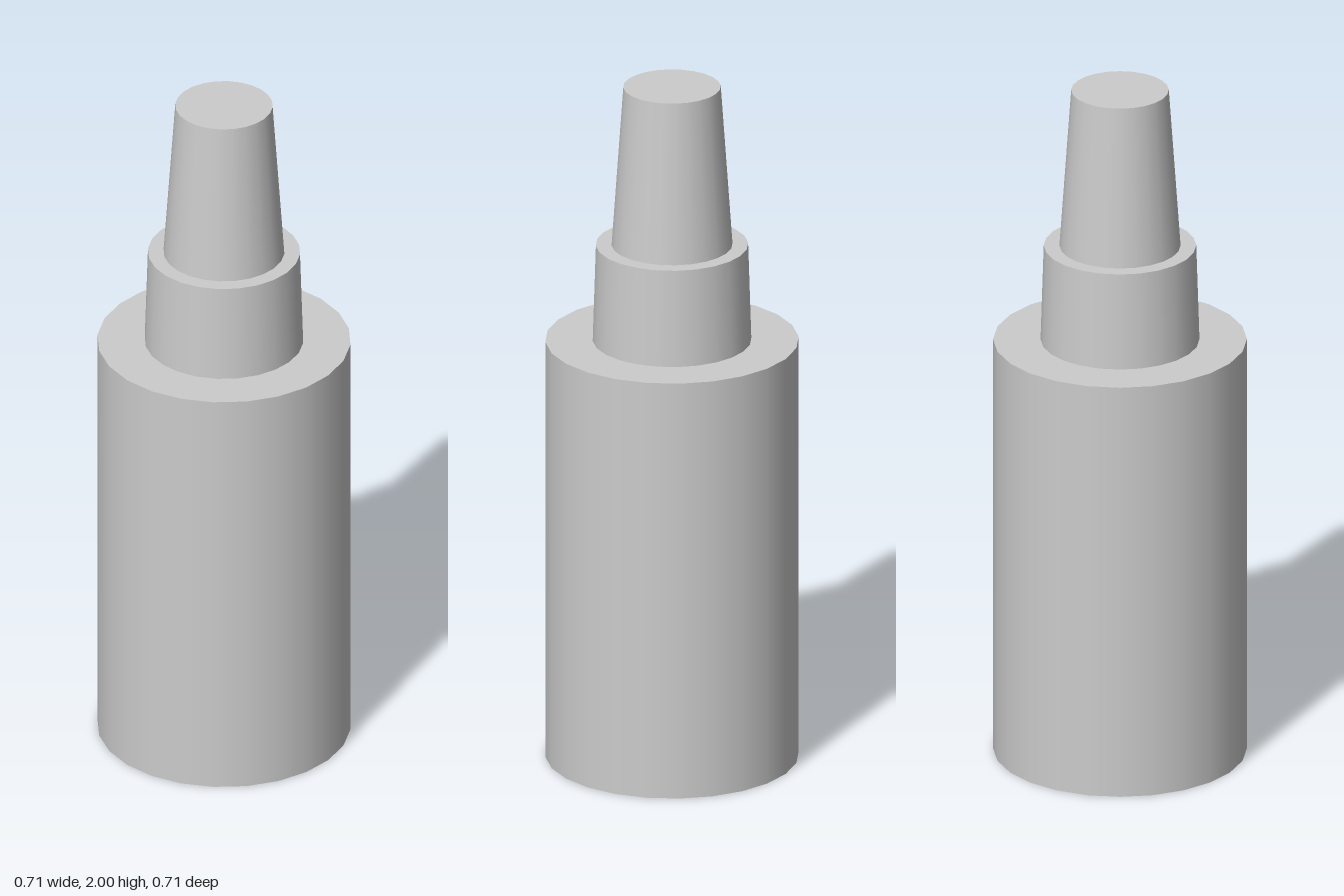
import * as THREE from 'three';

export function createModel() {
  const group = new THREE.Group();
  const material = new THREE.MeshStandardMaterial({ color: 0xcccccc });
  // Stacked sections: name, bottom radius, top radius, bottom y, top y
  const sections = [
    ['bottleBody', 0.356, 0.356, 0, 1.243],
    ['collar', 0.223, 0.214, 1.243, 1.528],
    ['taperedCap', 0.17, 0.137, 1.528, 2],
  ];
  for (const [name, rBottom, rTop, y0, y1] of sections) {
    const mesh = new THREE.Mesh(new THREE.CylinderGeometry(rTop, rBottom, y1 - y0, 24), material);
    mesh.position.y = (y0 + y1) / 2;
    mesh.name = name;
    group.add(mesh);
  }
  return group;
}
